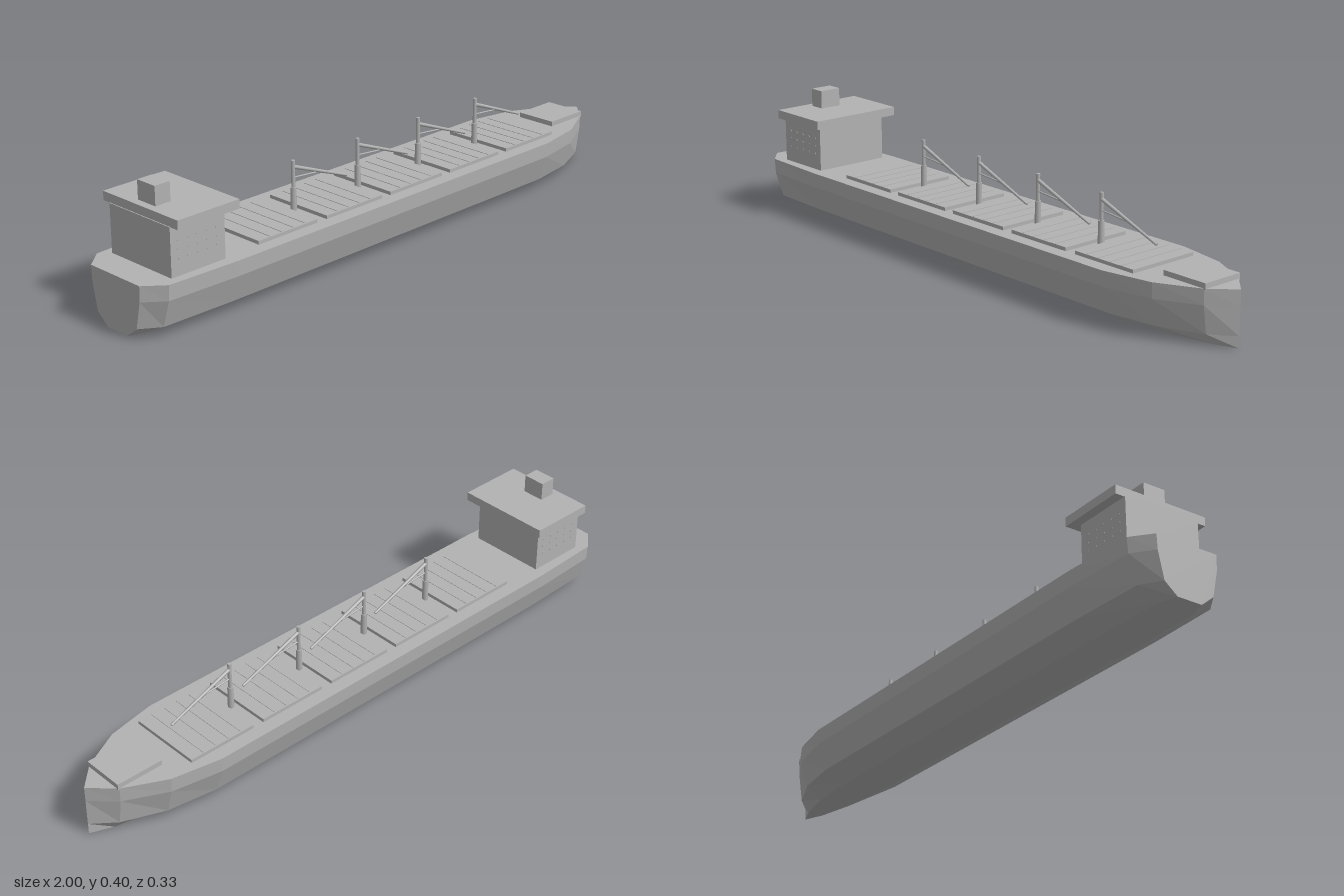
import * as THREE from 'three';

const grey = new THREE.MeshStandardMaterial({ color: 0xb2b2b2 });
grey.name = 'ship grey';
const DECK = 0.168;

function add(parent, name, geometry, x = 0, y = 0, z = 0) {
  const mesh = new THREE.Mesh(geometry, grey);
  mesh.name = name;
  mesh.position.set(x, y, z);
  parent.add(mesh);
  return mesh;
}

// Box given by its extents in x and y, and its half width in z
function block(parent, name, x0, x1, y0, y1, halfZ) {
  return add(parent, name, new THREE.BoxGeometry(x1 - x0, y1 - y0, halfZ * 2), (x0 + x1) / 2, (y0 + y1) / 2, 0);
}

// Round bar between two points in the centre plane
function bar(parent, name, x0, y0, x1, y1, r0, r1) {
  const dx = x1 - x0, dy = y1 - y0;
  const mesh = add(parent, name, new THREE.CylinderGeometry(r1, r0, Math.hypot(dx, dy), 8), (x0 + x1) / 2, (y0 + y1) / 2, 0);
  mesh.rotation.z = Math.atan2(dy, dx) - Math.PI / 2;
}

// Faceted hull: one half section, scaled in width from transom to stem
function hullGeometry() {
  const half = [[DECK, 0.165], [0.12, 0.162], [0.035, 0.133], [0, 0.065]];
  const stations = [[-1, 0.63], [-0.94, 0.94], [-0.7, 1], [0.64, 1], [0.8, 0.82], [0.93, 0.42], [1, 0]];
  const rings = stations.map(([x, s]) => [
    ...half.map(([y, z]) => [x, y, z * s]),
    ...half.slice().reverse().map(([y, z]) => [x, y, -z * s]),
  ]);
  const points = [];
  const face = (...corners) => corners.forEach((p) => points.push(...p));
  for (let i = 0; i < rings.length - 1; i++) {
    const a = rings[i], b = rings[i + 1];
    const last = i === rings.length - 2;
    for (let j = 0; j < 8; j++) {
      const k = (j + 1) % 8;
      face(a[j], a[k], b[k]);
      if (!last || (j !== 3 && j !== 7)) face(a[j], b[k], b[j]);
    }
  }
  // Flat transom
  for (let j = 1; j < 7; j++) face(rings[0][0], rings[0][j + 1], rings[0][j]);
  const geometry = new THREE.BufferGeometry();
  geometry.setAttribute('position', new THREE.Float32BufferAttribute(points, 3));
  geometry.computeVertexNormals();
  return geometry;
}

export function createModel() {
  const ship = new THREE.Group();
  ship.name = 'cargoShip';
  add(ship, 'hull', hullGeometry());
  block(ship, 'forecastle', 0.78, 0.935, DECK - 0.004, 0.184, 0.069);

  // Deckhouse, bridge with wings, and funnel
  const house = new THREE.Group();
  house.name = 'superstructure';
  ship.add(house);
  block(house, 'deckhouse', -0.908, -0.715, DECK - 0.004, 0.317, 0.128);
  block(house, 'bridge', -0.905, -0.685, 0.316, 0.344, 0.158);
  block(house, 'funnel', -0.88, -0.827, 0.343, 0.403, 0.037);

  // Small portholes on both sides of the deckhouse
  for (const side of [-1, 1]) {
    for (const y of [0.22, 0.246, 0.272]) {
      for (let i = 0; i < 5; i++) {
        const port = add(house, 'porthole', new THREE.CylinderGeometry(0.004, 0.004, 0.002, 8), -0.88 + i * 0.034, y, side * 0.1285);
        port.rotation.x = Math.PI / 2;
      }
    }
  }

  // Five hatch covers with thin cross ribs
  for (let i = 0; i < 5; i++) {
    const hatch = new THREE.Group();
    hatch.name = 'hatch';
    ship.add(hatch);
    const x = -0.47 + i * 0.2675;
    block(hatch, 'hatchCover', x - 0.115, x + 0.115, DECK - 0.004, 0.179, 0.121);
    for (let j = 0; j < 4; j++) {
      const rx = x - 0.069 + j * 0.046;
      block(hatch, 'hatchRib', rx - 0.0015, rx + 0.0015, 0.178, 0.1805, 0.117);
    }
  }

  // Four deck cranes standing between the hatches
  for (let i = 0; i < 4; i++) {
    const crane = new THREE.Group();
    crane.name = 'crane';
    crane.position.x = -0.335 + i * 0.2675;
    ship.add(crane);
    bar(crane, 'craneBase', 0, DECK - 0.004, 0, 0.24, 0.01, 0.009);
    bar(crane, 'mast', 0, 0.24, 0, 0.324, 0.006, 0.006);
    bar(crane, 'boom', 0, 0.304, 0.22, 0.219, 0.006, 0.004);
    bar(crane, 'stay', 0, 0.27, 0.115, 0.26, 0.0025, 0.0025);
  }
  return ship;
}
